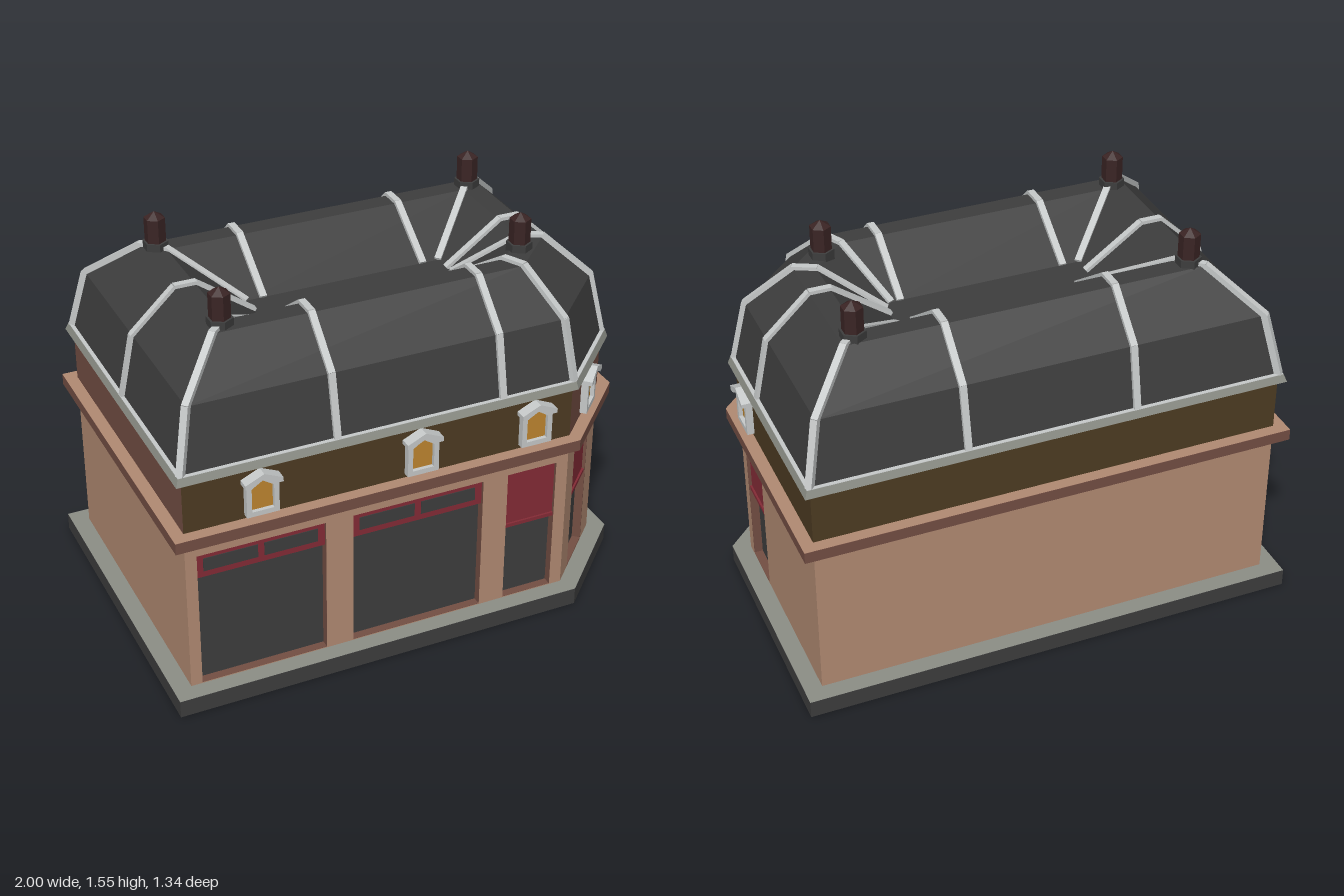
import * as THREE from 'three';

const mat = (name, color, side = THREE.FrontSide) => {
  const m = new THREE.MeshStandardMaterial({ color, side, flatShading: true });
  m.name = name;
  return m;
};
const M = {
  charcoal: mat('charcoal', 0x3d3d3d),
  tan: mat('tan', 0xb18a72),
  stone: mat('stone grey', 0x8c8e86),
  brown: mat('brown', 0x734e43),
  olive: mat('olive', 0x4d3b22),
  red: mat('red', 0x842b36),
  light: mat('light grey', 0xc6c9c9),
  amber: mat('amber', 0xbd8530),
  chimney: mat('dark maroon', 0x3a2424),
};

const W = 0.93, D = 0.6, CA = 0.635, CB = 0.305, T = Math.tan(Math.PI / 8);

// Footprint with one cut corner, grown by o; points are [x, z]
const footprint = o => [
  [-W - o, D + o], [CA + o * T, D + o], [W + o, CB + o * T], [W + o, -D - o], [-W - o, -D - o],
];

// Roof outline at inset d; the cut corner narrows towards the sunken centre
const roofRing = d => {
  const t = d / 0.525, mix = THREE.MathUtils.lerp;
  return [[-W + d, D - d], [mix(CA, 0.375, t), D - d], [W - d, mix(CB, 0.04, t)], [W - d, -D + d], [-W + d, -D + d]];
};
const PROFILE = [[0, 1.0], [0.05, 1.24], [0.22, 1.4], [0.3, 1.4], [0.525, 1.24]];

function add(parent, name, geo, material, x = 0, y = 0, z = 0) {
  const m = new THREE.Mesh(geo, material);
  m.name = name;
  m.position.set(x, y, z);
  parent.add(m);
  return m;
}
const box = (parent, name, w, h, d, material, x, y, z) =>
  add(parent, name, new THREE.BoxGeometry(w, h, d), material, x, y, z);

const poly = pts => new THREE.Shape(pts.map(p => new THREE.Vector2(p[0], p[1])));
const rect = (x0, x1, y0, y1) => [[x0, y0], [x1, y0], [x1, y1], [x0, y1]];

// Horizontal slab with a differently coloured top face
function slab(parent, name, o, y0, y1, sideMat, topMat) {
  const shape = poly(footprint(o).map(([x, z]) => [x, -z]));
  add(parent, name, new THREE.ExtrudeGeometry(shape, { depth: y1 - y0, bevelEnabled: false }).rotateX(-Math.PI / 2), sideMat, 0, y0, 0);
  add(parent, name + 'Top', new THREE.ShapeGeometry(shape).rotateX(-Math.PI / 2), topMat, 0, y1 + 0.0015, 0);
}

// Faceted skin through a list of rings, bottom to top, with the last ring filled
function loft(rings) {
  const pos = [], n = rings[0].length;
  const tri = (...v) => v.forEach(p => pos.push(...p));
  for (let i = 0; i + 1 < rings.length; i++) {
    for (let k = 0; k < n; k++) {
      const j = (k + 1) % n, a = rings[i], b = rings[i + 1];
      tri(a[k], a[j], b[j]);
      tri(a[k], b[j], b[k]);
    }
  }
  const top = rings[rings.length - 1];
  for (let k = 1; k + 1 < n; k++) tri(top[0], top[k], top[k + 1]);
  const g = new THREE.BufferGeometry();
  g.setAttribute('position', new THREE.Float32BufferAttribute(pos, 3));
  g.computeVertexNormals();
  return g;
}

// Recessed doorway: reveals, dark shutter and red head panel
const Y0 = 0.075, Y1 = 0.645, DEEP = 0.035;
function doorway(parent, x, w, garage) {
  const g = new THREE.Group();
  g.name = garage ? 'garageDoor' : 'shopDoor';
  g.position.x = x;
  parent.add(g);
  const h = Y1 - Y0, mid = (Y0 + Y1) / 2;
  for (const s of [-1, 1]) box(g, 'doorJamb', 0.006, h, DEEP, M.brown, s * (w / 2 + 0.003), mid, -DEEP / 2 - 0.001);
  box(g, 'doorLintel', w, 0.006, DEEP, M.brown, 0, Y1 + 0.003, -DEEP / 2 - 0.001);
  box(g, 'doorSill', w, 0.006, DEEP, M.brown, 0, Y0 - 0.003, -DEEP / 2 - 0.001);
  box(g, 'shutter', w, h, 0.008, M.charcoal, 0, mid, -DEEP - 0.004);
  const low = garage ? 0.54 : 0.41;
  box(g, 'redPanel', w, Y1 - low, 0.022, M.red, 0, (Y1 + low) / 2, -DEEP + 0.011);
  if (garage) {
    for (const s of [-1, 1]) box(g, 'transomWindow', w * 0.42, 0.055, 0.004, M.charcoal, s * w * 0.235, 0.593, -DEEP + 0.023);
  } else {
    box(g, 'panelLedge', w, 0.015, 0.03, M.red, 0, low - 0.004, -DEEP + 0.015);
  }
}

// Gabled window with a projecting pediment
const gable = (hw, y0, y1, y2) => [[-hw, y0], [hw, y0], [hw, y1], [0, y2], [-hw, y1]];
function upperWindow(parent, x) {
  const g = new THREE.Group();
  g.name = 'upperWindow';
  g.position.x = x;
  parent.add(g);
  const frame = poly(gable(0.063, 0.773, 0.905, 0.94));
  frame.holes.push(new THREE.Path(gable(0.043, 0.793, 0.89, 0.918).map(p => new THREE.Vector2(...p))));
  add(g, 'windowFrame', new THREE.ExtrudeGeometry(frame, { depth: 0.028, bevelEnabled: false }), M.light);
  add(g, 'windowPane', new THREE.ShapeGeometry(poly(gable(0.045, 0.79, 0.892, 0.92))), M.amber, 0, 0, 0.012);
  const hood = poly([[-0.073, 0.905], [-0.05, 0.905], [0, 0.933], [0.05, 0.905], [0.073, 0.905], [0.073, 0.922], [0, 0.955], [-0.073, 0.922]]);
  add(g, 'windowPediment', new THREE.ExtrudeGeometry(hood, { depth: 0.045, bevelEnabled: false }), M.light);
}

// One facade: origin, turn, extent along the wall, upper colour, doors [x, width, garage], windows
function facade(parent, name, x, z, turn, x0, x1, upperMat, doors, windows) {
  const g = new THREE.Group();
  g.name = name;
  g.position.set(x, 0, z);
  g.rotation.y = turn;
  parent.add(g);
  const wall = poly(rect(x0, x1, 0.07, 0.72));
  for (const [dx, w] of doors) {
    wall.holes.push(new THREE.Path(rect(dx - w / 2, dx + w / 2, Y0, Y1).map(p => new THREE.Vector2(...p))));
  }
  add(g, 'groundFloorWall', new THREE.ShapeGeometry(wall), M.tan);
  add(g, 'upperWall', new THREE.ShapeGeometry(poly(rect(x0, x1, 0.75, 0.975))), upperMat);
  doors.forEach(d => doorway(g, ...d));
  windows.forEach(wx => upperWindow(g, wx));
}

// Seam strip laid along the roof profile; path maps inset to [x, z]
function rib(parent, path) {
  const pts = PROFILE.map(([d, y]) => {
    const [x, z] = path(d);
    return new THREE.Vector3(x, y + 0.001, z);
  });
  for (let i = 0; i + 1 < pts.length; i++) {
    const len = pts[i].distanceTo(pts[i + 1]);
    const m = box(parent, 'roofRib', 0.027, 0.026, len + 0.006, M.light, 0, 0, 0);
    m.position.copy(pts[i]).lerp(pts[i + 1], 0.5);
    m.lookAt(pts[i + 1]);
  }
}

export function createModel() {
  const model = new THREE.Group();
  model.name = 'cornerBuilding';

  // Pavement and walls
  slab(model, 'plinth', 0.07, 0, 0.07, M.charcoal, M.stone);
  const q = Math.PI / 4, half = (W - CA) / Math.SQRT2;
  facade(model, 'frontFacade', 0, D, 0, -W, CA, M.olive,
    [[-0.6325, 0.505, true], [0, 0.54, true], [0.48, 0.21, false]], [-0.635, 0, 0.475]);
  facade(model, 'cornerFacade', (CA + W) / 2, (D + CB) / 2, q, -half, half, M.brown, [[0, 0.21, false]], [0]);
  facade(model, 'leftFacade', W, 0, 2 * q, -CB, D, M.olive, [[-0.1525, 0.205, false]], [-0.16]);
  facade(model, 'backFacade', 0, -D, 4 * q, -W, W, M.olive, [], []);
  facade(model, 'rightFacade', -W, 0, -2 * q, -D, D, M.brown, [], []);

  // Cornice and eaves
  slab(model, 'cornice', 0.048, 0.71, 0.755, M.brown, M.tan);
  const at = (ring, y) => ring.map(([x, z]) => [x, y, z]);
  add(model, 'gutter', loft([at(footprint(0), 0.969), at(footprint(0.026), 0.97), at(footprint(0.015), 1.0)]), M.stone);
  add(model, 'gutterTop', loft([at(footprint(0.015), 1.0), at(footprint(0.0145), 1.002)]), M.light);

  // Mansard roof with sunken centre, and its seams
  add(model, 'roof', loft(PROFILE.map(([d, y]) => at(roofRing(d), y))), M.charcoal);
  const ribs = new THREE.Group();
  ribs.name = 'roofRibs';
  model.add(ribs);
  for (let k = 0; k < 5; k++) rib(ribs, d => roofRing(d)[k]);
  for (const s of [-1, 1]) {
    rib(ribs, d => [s * (W - d), 0]);
    for (const x of [-0.335, 0.335]) rib(ribs, d => [x, s * (D - d)]);
  }

  // Chimneys
  for (const [x, z] of [[-0.66, -0.335], [-0.66, 0.325], [0.66, -0.335], [0.58, 0.245]]) {
    const c = new THREE.Group();
    c.name = 'chimney';
    c.position.set(x, 0, z);
    model.add(c);
    add(c, 'chimneyBase', new THREE.CylinderGeometry(0.05, 0.05, 0.09, 6), M.charcoal, 0, 1.385, 0);
    add(c, 'chimneyShaft', new THREE.CylinderGeometry(0.041, 0.041, 0.1, 6), M.chimney, 0, 1.475, 0);
    add(c, 'chimneyCap', new THREE.ConeGeometry(0.041, 0.025, 6), M.chimney, 0, 1.5375, 0);
  }
  return model;
}
